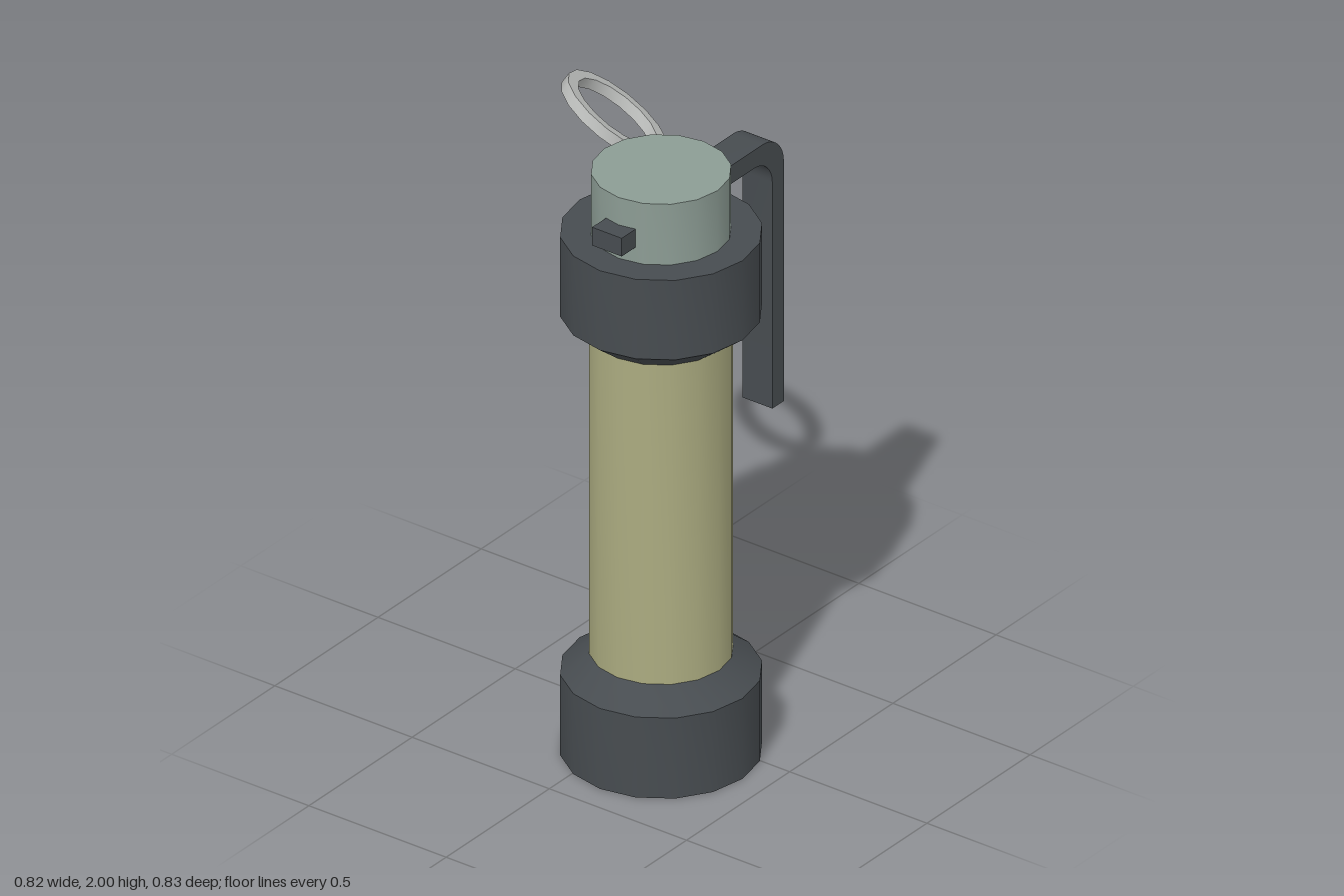
import * as THREE from 'three';
import { toCreasedNormals } from 'three/addons/utils/BufferGeometryUtils.js';

const CX = -0.115, CZ = 0.118; // axis of the cylindrical body
const SIDES = 16;

const paint = (name, color) => {
  const m = new THREE.MeshStandardMaterial({ color });
  m.name = name;
  return m;
};

// Turned part with sharp profile edges; points run bottom to top
function turned(points) {
  const profile = points.map(([r, y]) => new THREE.Vector2(r, y));
  return toCreasedNormals(new THREE.LatheGeometry(profile, SIDES), 0.6);
}

export function createModel() {
  const model = new THREE.Group();
  model.name = 'canister';
  const olive = paint('olive', 0xabab80);
  const charcoal = paint('charcoal', 0x474c50);
  const sage = paint('sage', 0x8c9c94);
  const steel = paint('steel', 0xbabcba);

  const add = (name, geometry, material, x = CX, y = 0, z = CZ) => {
    const mesh = new THREE.Mesh(geometry, material);
    mesh.name = name;
    mesh.position.set(x, y, z);
    model.add(mesh);
    return mesh;
  };

  // Tube, its two chamfered caps and the fuze head
  add('body', turned([[0.212, 0.3], [0.212, 1.44]]), olive);
  add('bottomCap', turned([[0, 0], [0.297, 0], [0.297, 0.27], [0.212, 0.335], [0, 0.335]]), charcoal);
  add('topCap', turned([[0, 1.408], [0.212, 1.408], [0.297, 1.474], [0.297, 1.741], [0, 1.741]]), charcoal);
  add('fuzeHead', turned([[0.206, 1.73], [0.206, 1.945], [0, 1.945]]), sage);

  // Safety lever: a bar through the head, bent down at the side
  const bar = new THREE.Shape();
  bar.moveTo(-0.378, 1.792);
  bar.lineTo(0.265, 1.792);
  bar.absarc(0.265, 1.705, 0.087, Math.PI / 2, 0, true);
  bar.lineTo(0.352, 0.945);
  bar.lineTo(0.408, 0.945);
  bar.lineTo(0.408, 1.75);
  bar.absarc(0.305, 1.75, 0.103, 0, Math.PI / 2, false);
  bar.lineTo(-0.378, 1.853);
  const lever = new THREE.ExtrudeGeometry(bar, { depth: 0.108, bevelEnabled: false, curveSegments: 6 });
  add('lever', toCreasedNormals(lever, 0.6), charcoal, 0, 0, 0.064);

  // Pull ring of square section, tilted towards the front left
  const inner = 0.143, outer = 0.18, half = 0.0175;
  const ringShape = turned([[inner, -half], [outer, -half], [outer, half], [inner, half], [inner, -half]]);
  const ring = add('pullRing', ringShape, steel, 0.143, 1.88, -0.248);
  ring.quaternion.setFromUnitVectors(
    new THREE.Vector3(0, 1, 0), new THREE.Vector3(0.424, 0.8, 0.424).normalize());

  // Pin from the head to the ring
  const start = new THREE.Vector3(-0.03, 1.855, -0.01);
  const end = new THREE.Vector3(0.05, 1.857, -0.105);
  const axis = end.clone().sub(start);
  const mid = start.clone().add(end).multiplyScalar(0.5);
  const pin = add('pin', new THREE.CylinderGeometry(0.011, 0.011, axis.length(), 8), steel, mid.x, mid.y, mid.z);
  pin.quaternion.setFromUnitVectors(new THREE.Vector3(0, 1, 0), axis.normalize());

  return model;
}
